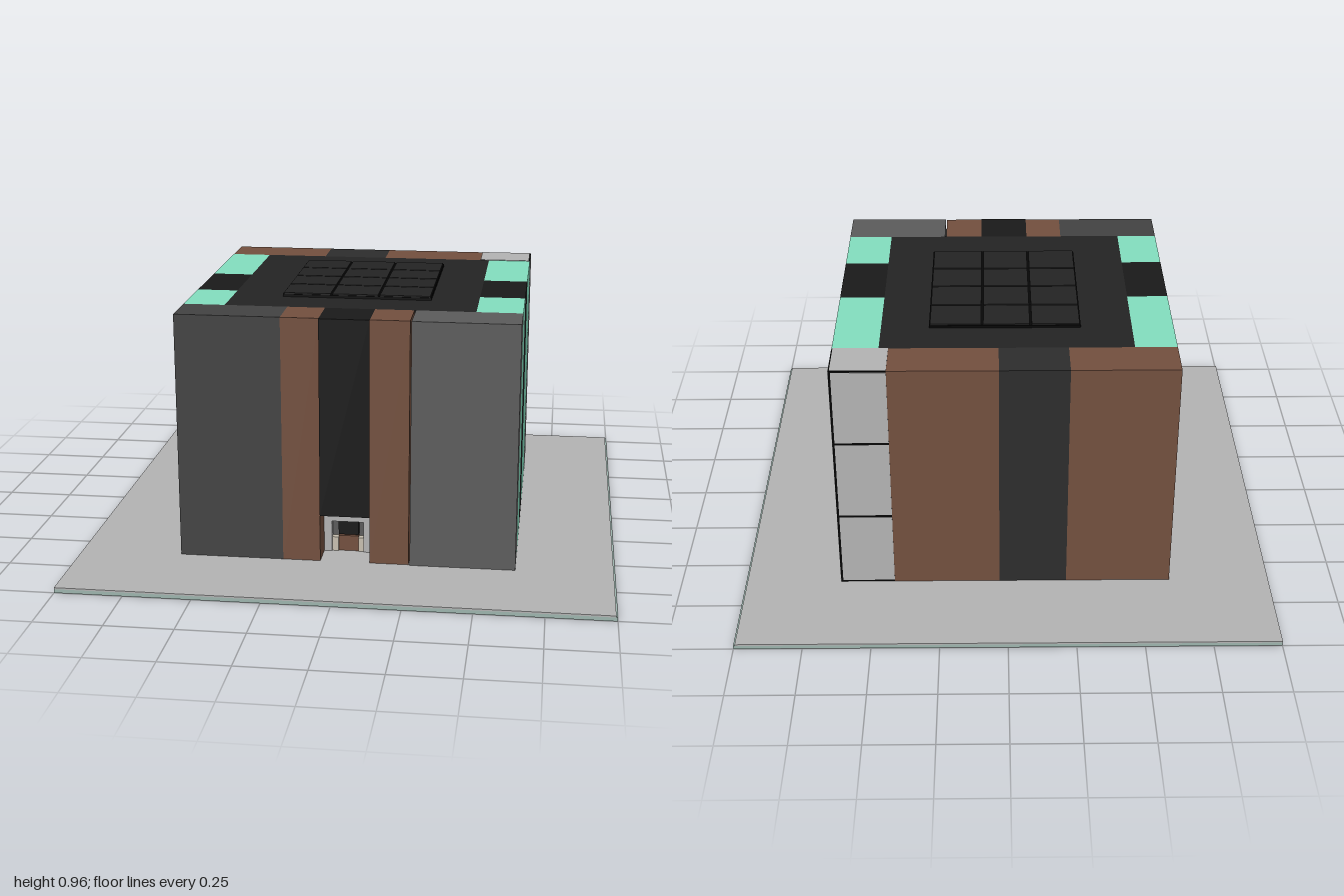
import * as THREE from 'three';

const C = {
  black: 0x1a1a1a, roof: 0x242424, dark: 0x2d2d2d, charcoal: 0x434343, grey: 0x5c5c5c,
  brown: 0x73503f, green: 0x84dfc0, light: 0xb4b4b4, plate: 0x9db5ae, line: 0x060606, cream: 0xc8c0b0,
};
const mats = {};
const mat = (key) => (mats[key] ??= new THREE.MeshStandardMaterial({ color: C[key] }));

// Box given by its limits on each axis
function block(parent, name, color, [x0, x1], [y0, y1], [z0, z1]) {
  const mesh = new THREE.Mesh(new THREE.BoxGeometry(x1 - x0, y1 - y0, z1 - z0), mat(color));
  mesh.position.set((x0 + x1) / 2, (y0 + y1) / 2, (z0 + z1) / 2);
  mesh.name = name;
  parent.add(mesh);
  return mesh;
}

function section(parent, name) {
  const g = new THREE.Group();
  g.name = name;
  parent.add(g);
  return g;
}

export function createModel() {
  const model = new THREE.Group();
  model.name = 'blockBuilding';
  const base = 0.02, top = 0.95, H = [base, top];

  // Ground slab with a thin paved sheet on it
  block(model, 'groundSlab', 'plate', [-1, 1], [0, 0.014], [-1, 1]);
  block(model, 'paving', 'light', [-1, 0.994], [0.014, base], [-1, 1]);

  // Inner core forming the flat roof
  block(model, 'core', 'roof', [-0.465, 0.465], H, [-0.465, 0.468]);

  // Front wall, with a doorway under the black panel
  const front = section(model, 'frontWall');
  const fz = [0.468, 0.633];
  block(front, 'rightCornerBlock', 'charcoal', [-0.62, -0.23], H, fz);
  block(front, 'rightPillar', 'brown', [-0.23, -0.09], H, fz);
  block(front, 'doorLintel', 'black', [-0.09, 0.095], [0.2, top], [0.468, 0.638]);
  block(front, 'leftPillar', 'brown', [0.095, 0.24], H, fz);
  block(front, 'leftCornerBlock', 'grey', [0.245, 0.635], H, [0.468, 0.638]);

  // Recessed entrance
  const door = section(model, 'entrance');
  block(door, 'doorBack', 'grey', [-0.09, 0.095], [base, 0.2], [0.468, 0.5]);
  for (const [x0, x1] of [[-0.09, -0.06], [0.06, 0.095]])
    block(door, 'doorJamb', 'light', [x0, x1], [base, 0.14], [0.5, 0.53]);
  block(door, 'doorHead', 'light', [-0.09, 0.095], [0.14, 0.2], [0.5, 0.53]);
  block(door, 'doorWindow', 'black', [-0.036, 0.04], [0.085, 0.14], [0.5, 0.52]);
  block(door, 'doorPanel', 'brown', [-0.036, 0.04], [base, 0.08], [0.5, 0.52]);
  for (const [x0, x1] of [[-0.06, -0.036], [0.04, 0.06]])
    block(door, 'doorStep', 'cream', [x0, x1], [base, 0.075], [0.5, 0.525]);

  // Side walls: green, black, green
  for (const [name, x] of [['leftWall', [0.465, 0.635]], ['rightWall', [-0.62, -0.465]]]) {
    const wall = section(model, name);
    block(wall, 'rearPanel', 'green', x, H, [-0.465, -0.068]);
    block(wall, 'middlePanel', 'black', x, H, [-0.068, 0.225]);
    block(wall, 'frontPanel', 'green', x, H, [0.225, 0.468]);
  }

  // Back wall
  const back = section(model, 'backWall');
  const bz = [-0.63, -0.465];
  block(back, 'rightPanel', 'brown', [-0.62, -0.225], H, bz);
  block(back, 'middlePanel', 'dark', [-0.225, 0.03], H, bz);
  block(back, 'leftPanel', 'brown', [0.03, 0.43], H, bz);

  // Corner column: black core faced with three tiers of light tiles
  const column = section(model, 'cornerColumn');
  block(column, 'columnCore', 'line', [0.43, 0.635], H, bz);
  for (const [y0, y1] of [[0.028, 0.32], [0.33, 0.641], [0.65, 0.945]]) {
    block(column, 'sideTile', 'light', [0.633, 0.637], [y0, y1], [-0.622, -0.465]);
    block(column, 'backTile', 'light', [0.43, 0.627], [y0, y1], [-0.632, -0.628]);
  }
  block(column, 'topTile', 'light', [0.43, 0.631], [0.948, 0.952], [-0.626, -0.465]);

  // Roof panel with a 3 by 4 grid of tiles
  const roof = section(model, 'roofPanel');
  block(roof, 'panelBase', 'line', [-0.275, 0.287], [top, 0.96], [-0.315, 0.306]);
  const xs = [-0.275, -0.09, 0.09, 0.287], zs = [-0.315, -0.16, -0.006, 0.146, 0.306], gap = 0.004;
  for (let i = 0; i < 3; i++)
    for (let j = 0; j < 4; j++)
      block(roof, 'roofTile', 'roof', [xs[i] + gap, xs[i + 1] - gap], [top, 0.965], [zs[j] + gap, zs[j + 1] - gap]);

  return model;
}
